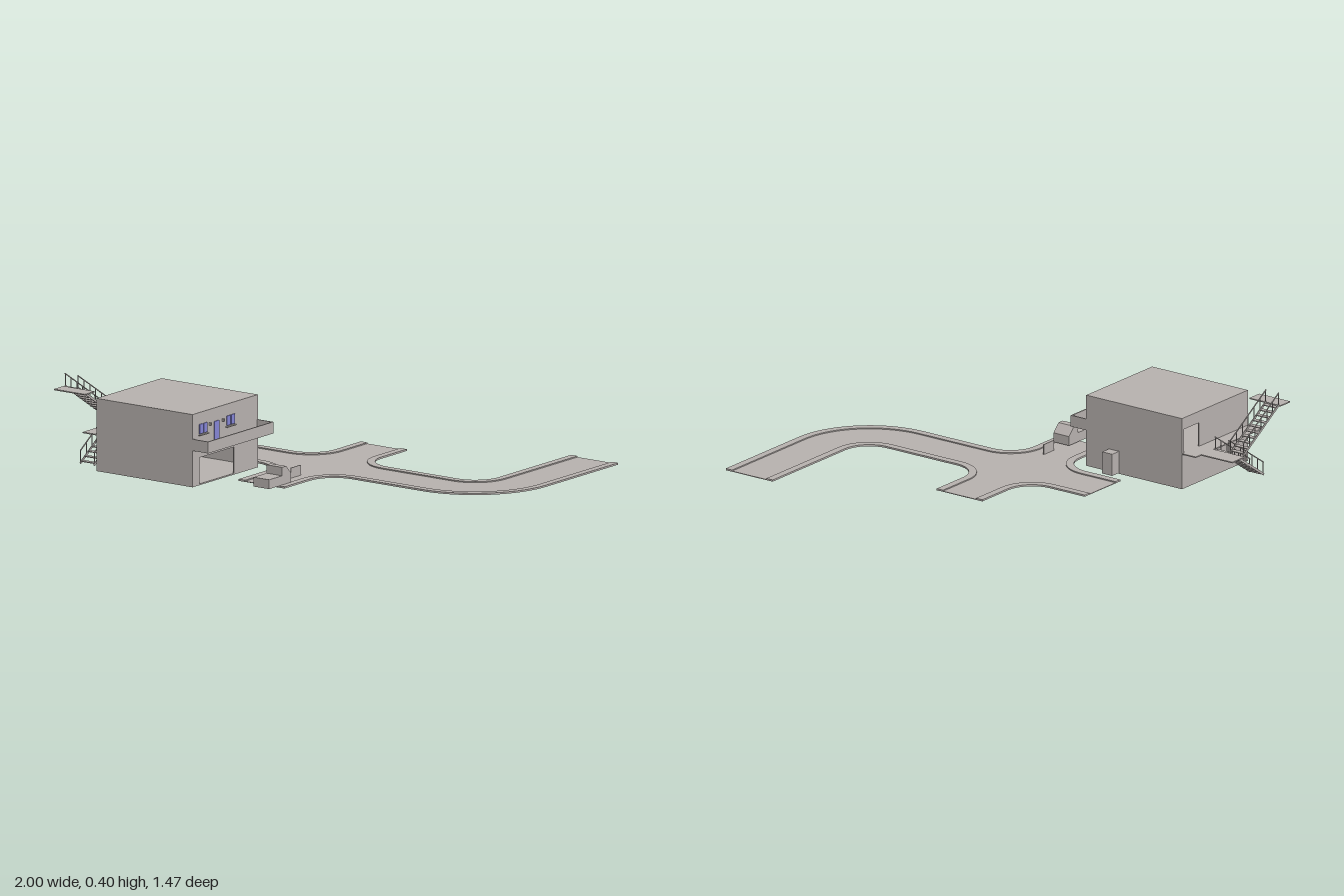
import * as THREE from 'three';

export function createModel() {
  const model = new THREE.Group();
  const grey = new THREE.MeshStandardMaterial({ color: 0xb8b2af });
  grey.name = 'warm grey';
  grey.side = THREE.DoubleSide;
  const blue = new THREE.MeshStandardMaterial({ color: 0x8585d6 });
  blue.name = 'window blue';

  const add = (name, geo, mat = grey, parent = model) => {
    const m = new THREE.Mesh(geo, mat);
    m.name = name;
    parent.add(m);
    return m;
  };
  // Box given by its minimum and maximum corners
  const box = (name, x0, x1, y0, y1, z0, z1, mat = grey, parent = model) => {
    const m = add(name, new THREE.BoxGeometry(x1 - x0, y1 - y0, z1 - z0), mat, parent);
    m.position.set((x0 + x1) / 2, (y0 + y1) / 2, (z0 + z1) / 2);
    return m;
  };
  const group = (name) => {
    const g = new THREE.Group();
    g.name = name;
    model.add(g);
    return g;
  };

  // ---- Road: outline made of four edge paths in (x, z), road on the right of each
  const arc = (cx, cz, r, a0, a1, n = 12) => Array.from({ length: n + 1 }, (_, i) => {
    const a = a0 + (a1 - a0) * i / n;
    return [cx + r * Math.cos(a), cz + r * Math.sin(a)];
  });
  const P = Math.PI, H = P / 2;
  const edges = [
    [[-0.47, -0.08], ...arc(-0.28, -0.21, 0.13, H, 0), [-0.15, -0.4]],
    [[0.1, -0.4], ...arc(0.23, -0.21, 0.13, P, H), ...arc(0.613, -0.21, 0.13, H, 0), [0.743, -0.74]],
    [[1, -0.74], ...arc(0.613, -0.207, 0.387, 0, H, 18), ...arc(0.23, 0.31, 0.13, -H, -P), [0.1, 0.5]],
    [[-0.15, 0.5], ...arc(-0.28, 0.31, 0.13, 0, -H), [-0.47, 0.18]],
  ];
  const slab = (pts, y0, y1) => {
    const s = new THREE.Shape(pts.map(([x, z]) => new THREE.Vector2(x, -z)));
    const g = new THREE.ExtrudeGeometry(s, { depth: y1 - y0, bevelEnabled: false });
    return g.rotateX(-H).translate(0, y0, 0);
  };
  const offset = (pts, d) => pts.map(([x, z], i) => {
    const a = pts[Math.max(i - 1, 0)], b = pts[Math.min(i + 1, pts.length - 1)];
    const end = i === 0 || i === pts.length - 1;
    const dx = b[0] - a[0], dz = b[1] - a[1], l = Math.hypot(dx, dz);
    // Keep curb ends square to the road
    if (end) return Math.abs(dx) > Math.abs(dz) ? [x, z + d * Math.sign(dx)] : [x - d * Math.sign(dz), z];
    return [x - d * dz / l, z + d * dx / l];
  });
  const road = group('road');
  add('roadSurface', slab(edges.flat(), 0.013, 0.016), grey, road);
  edges.forEach((e) => add('curb', slab([...e, ...offset(e, 0.035).reverse()], 0.0135, 0.021), grey, road));

  // ---- Building shell
  const X0 = -0.755, X1 = -0.23, Z0 = 0.25, Z1 = 0.73, Y0 = 0.02, Y1 = 0.343, T = 0.006;
  const house = group('building');
  box('floor', X0, X1, Y0 - 0.004, Y0 + 0.002, Z0, Z1, grey, house);
  box('upperFloor', X0 + T, X1 - T, 0.174, 0.18, Z0 + T, Z1 - T, grey, house);
  box('roof', X0, X1, Y1 - T, Y1, Z0, Z1, grey, house);
  box('backWall', X0, X1, Y0, Y1 - T, Z0, Z0 + T, grey, house);
  box('frontWall', X0, X1, Y0, Y1 - T, Z1 - T, Z1, grey, house);
  // Side walls with one rectangular opening each
  const rect = (P2, z0, z1, y0, y1) => {
    const s = new P2();
    s.moveTo(z0, y0); s.lineTo(z1, y0); s.lineTo(z1, y1); s.lineTo(z0, y1); s.closePath();
    return s;
  };
  const sideWall = (name, x, hole) => {
    const s = rect(THREE.Shape, Z0 + T, Z1 - T, Y0, Y1 - T);
    s.holes.push(rect(THREE.Path, ...hole));
    const g = new THREE.ExtrudeGeometry(s, { depth: T, bevelEnabled: false });
    add(name, g.rotateY(-H).translate(x, 0, 0), grey, house);
  };
  sideWall('garageWall', X1, [0.424, 0.678, Y0 + 0.002, 0.14]);
  sideWall('stairWall', X0 + T, [0.265, 0.375, 0.181, 0.29]);

  // Balcony with low parapet
  const balcony = group('balcony');
  box('balconyFloor', X1, -0.145, 0.18, 0.186, Z0, Z1, grey, balcony);
  box('balconyParapet', -0.151, -0.145, 0.186, 0.232, Z0, Z1, grey, balcony);
  for (const z of [Z0, Z1 - T]) box('balconyEnd', X1, -0.151, 0.186, 0.232, z, z + T, grey, balcony);

  // Windows, balcony door, sills and lamps
  const facade = group('facadeDetails');
  for (const z of [0.453, 0.653]) {
    for (const s of [-1, 1]) {
      const c = z + s * 0.0155;
      box('window', X1, X1 + 0.004, 0.247, 0.29, c - 0.0135, c + 0.0135, blue, facade);
    }
    box('windowSill', X1, X1 + 0.01, 0.239, 0.243, z - 0.034, z + 0.034, grey, facade);
  }
  box('balconyDoor', X1, X1 + 0.004, 0.186, 0.283, 0.537, 0.573, blue, facade);
  for (const z of [0.51, 0.604]) box('lamp', X1, X1 + 0.01, 0.272, 0.284, z - 0.004, z + 0.004, grey, facade);

  // Outdoor locker behind the building
  box('locker', -0.41, -0.355, Y0, 0.12, 0.2, Z0);

  // ---- Outside stairs
  const stairs = group('stairs');
  box('sidePlatform', -0.83, X0, 0.176, 0.181, Z0, Z1, grey, stairs);
  box('lowerLanding', -1, -0.83, 0.176, 0.181, 0.29, 0.38, grey, stairs);
  box('upperLanding', -1, -0.83, 0.342, 0.347, 0.64, 0.712, grey, stairs);
  const flight = (x0, x1, y0, y1, z0, z1) => {
    const n = 10, dy = y1 - y0, dz = z1 - z0, len = Math.hypot(dy, dz);
    for (let i = 0; i < n; i++) {
      const y = y0 + dy * (i + 0.7) / n, z = z0 + dz * (i + 0.5) / n;
      box('tread', x0, x1, y - 0.002, y + 0.002, z - 0.011, z + 0.011, grey, stairs);
    }
    for (const x of [x0, x1]) {
      for (const [name, lift, h] of [['stringer', 0.004, 0.01], ['handrail', 0.06, 0.004]]) {
        const m = add(name, new THREE.BoxGeometry(0.004, h, len), grey, stairs);
        m.position.set(x, (y0 + y1) / 2 + lift, (z0 + z1) / 2);
        m.rotation.x = -Math.atan(dy / dz);
      }
      for (let i = 0; i <= 6; i++) {
        const t = 0.01 + 0.98 * i / 6, y = y0 + dy * t, z = z0 + dz * t;
        box('railPost', x - 0.0015, x + 0.0015, y, y + 0.06, z - 0.0015, z + 0.0015, grey, stairs);
      }
    }
  };
  flight(-0.912, -0.838, 0.008, 0.18, 0.635, 0.38);
  flight(-0.992, -0.922, 0.18, 0.345, 0.38, 0.64);

  // ---- Small parked truck: side profile in (z, y), extruded across x
  const profile = [[0.41, 0.02], [0.572, 0.02], [0.572, 0.062], [0.477, 0.062], [0.477, 0.1], [0.446, 0.1], [0.41, 0.062]];
  const truck = new THREE.ExtrudeGeometry(new THREE.Shape(profile.map(([z, y]) => new THREE.Vector2(z, y))),
    { depth: 0.085, bevelEnabled: false });
  add('truck', truck.rotateY(-H).translate(0.07, 0, 0));
  // Low upright panel behind the truck
  box('roadPanel', 0.008, 0.012, 0.016, 0.062, 0.258, 0.333);

  return model;
}
